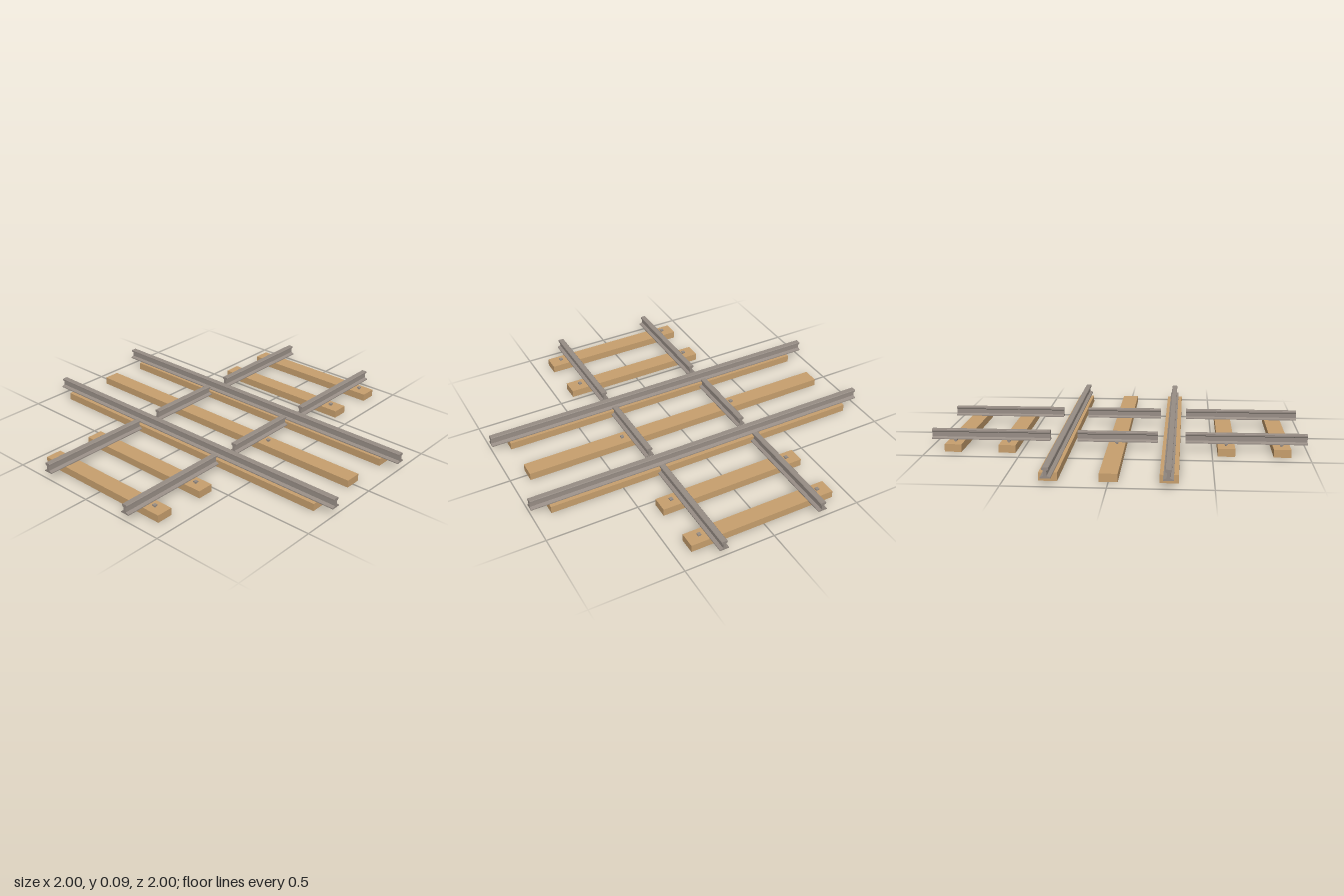
import * as THREE from 'three';

const TIE_TOP = 0.041; // upper face of the timbers, where the rails rest
const GAUGE = 0.285; // rail centre offset from the middle

const steel = new THREE.MeshStandardMaterial({ color: 0x978d85 });
steel.name = 'weathered steel';
const wood = new THREE.MeshStandardMaterial({ color: 0xc8a06e });
wood.name = 'timber';

// Half of the rail section, from foot to head: [half width, height]
const HALF = [
  [0.025, 0], [0.025, 0.005], [0.008, 0.012], [0.007, 0.036],
  [0.016, 0.041], [0.016, 0.05], [0.013, 0.053],
];

function railShape() {
  const right = HALF.map(([x, y]) => new THREE.Vector2(x, y));
  const left = HALF.map(([x, y]) => new THREE.Vector2(-x, y)).reverse();
  return new THREE.Shape([...right, ...left]);
}

// Rail running along z between two ends
function rail(name, from, to) {
  const geo = new THREE.ExtrudeGeometry(railShape(), { depth: to - from, bevelEnabled: false });
  geo.translate(0, TIE_TOP, from);
  const mesh = new THREE.Mesh(geo, steel);
  mesh.name = name;
  return mesh;
}

function box(name, w, h, d, x, y, z, material) {
  const mesh = new THREE.Mesh(new THREE.BoxGeometry(w, h, d), material);
  mesh.name = name;
  mesh.position.set(x, y, z);
  return mesh;
}

function tie(name, length, z) {
  return box(name, length, TIE_TOP, 0.09, 0, TIE_TOP / 2, z, wood);
}

// Narrow shank with a wider square head
function spike(x, z) {
  const g = new THREE.Group();
  g.name = 'spike';
  g.add(box('spikeShank', 0.01, 0.008, 0.01, 0, 0.003, 0, steel));
  g.add(box('spikeHead', 0.018, 0.007, 0.018, 0, 0.0095, 0, steel));
  g.position.set(x, TIE_TOP, z);
  return g;
}

export function createModel() {
  const model = new THREE.Group();
  model.name = 'railCrossing';

  // Timbers: short ones at the ends, long ones through the crossing
  for (const z of [-0.86, -0.573, 0.573, 0.86]) model.add(tie('shortTie', 0.826, z));
  for (const z of [-0.287, 0, 0.287]) model.add(tie('longTie', 1.806, z));

  for (const side of [-1, 1]) {
    // Continuous rails across the model
    const through = rail('throughRail', -1, 1);
    through.rotation.y = Math.PI / 2;
    through.position.z = side * GAUGE;
    model.add(through);

    // Interrupted rails, with gaps around the continuous ones
    for (const [from, to] of [[-1, -0.36], [-0.214, 0.214], [0.36, 1]]) {
      const part = rail('crossingRail', from, to);
      part.position.x = side * GAUGE;
      model.add(part);
    }

    // Spikes outside each interrupted rail
    for (const z of [-0.86, -0.573, 0, 0.573, 0.86]) model.add(spike(side * 0.347, z));
  }
  return model;
}
